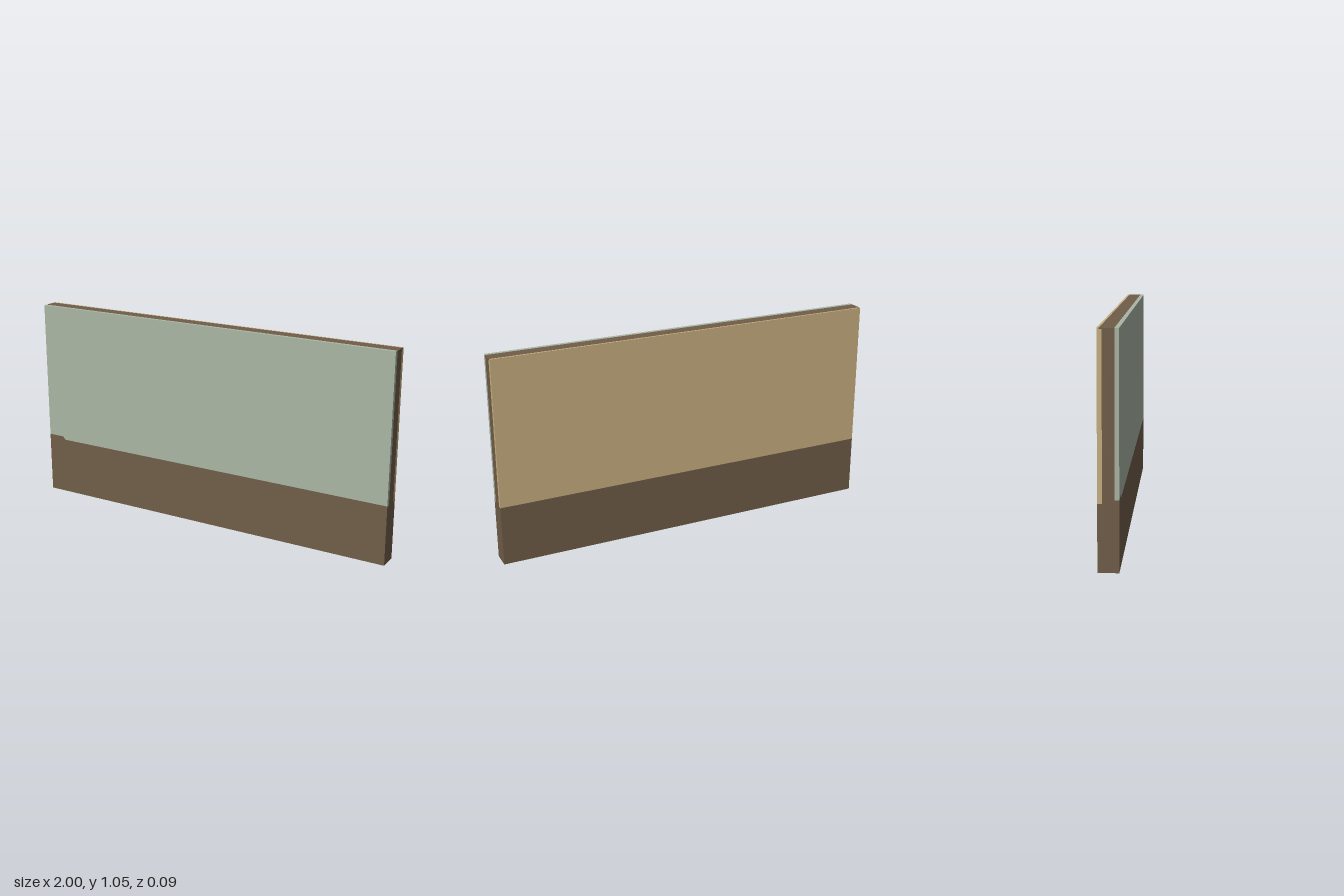
import * as THREE from 'three';

const brown = new THREE.MeshStandardMaterial({ name: 'brown trim', color: 0x705d48 });
const green = new THREE.MeshStandardMaterial({ name: 'sage green plaster', color: 0xaab6a3 });
const tan = new THREE.MeshStandardMaterial({ name: 'tan plaster', color: 0xc8af80 });

const W = 1, H = 1.05, D = 0.047; // half width, height, half depth
const RAIL = 0.305, FRONT = 0.027, BACK = -0.026, CAP_BACK = -0.037, CAP = 0.006;

export function createModel() {
  const wall = new THREE.Group();
  wall.name = 'wallPanel';

  // Box given by its two opposite corners
  const block = (name, material, [x0, y0, z0], [x1, y1, z1]) => {
    const mesh = new THREE.Mesh(new THREE.BoxGeometry(x1 - x0, y1 - y0, z1 - z0), material);
    mesh.position.set((x0 + x1) / 2, (y0 + y1) / 2, (z0 + z1) / 2);
    mesh.name = name;
    wall.add(mesh);
  };

  // Lower wainscot and the core that shows along the top and ends
  block('wainscot', brown, [-W, 0.001, -D], [W, RAIL, D]);
  block('core', brown, [-W, RAIL, BACK], [W, H, FRONT]);
  block('topCap', brown, [-W, H - CAP, CAP_BACK], [W, H, BACK]);

  // Back facing, stepped under the top cap
  block('backPanel', tan, [-W, RAIL, -D], [W, H, CAP_BACK]);
  block('backPanelInner', tan, [-W, RAIL, CAP_BACK], [W, H - CAP, BACK]);

  // Front facing, cut around the small raised corner of the wainscot
  const notch = new THREE.Shape([
    [-W, 0.322], [-0.91, 0.322], [-0.895, RAIL], [W, RAIL], [W, H], [-W, H],
  ].map(p => new THREE.Vector2(...p)));
  const front = new THREE.Mesh(
    new THREE.ExtrudeGeometry(notch, { depth: D - FRONT, bevelEnabled: false }), green);
  front.position.z = FRONT;
  front.name = 'frontPanel';
  wall.add(front);

  const corner = new THREE.Shape([
    [-W, RAIL], [-0.895, RAIL], [-0.91, 0.322], [-W, 0.322],
  ].map(p => new THREE.Vector2(...p)));
  const step = new THREE.Mesh(
    new THREE.ExtrudeGeometry(corner, { depth: D - FRONT, bevelEnabled: false }), brown);
  step.position.z = FRONT;
  step.name = 'raisedCorner';
  wall.add(step);

  // Underside inlay with clipped corners
  const x = 0.975, z = 0.037, c = 0.018;
  const inlay = new THREE.Shape([
    [-x, -z + c], [-x + c, -z], [x - c, -z], [x, -z + c],
    [x, z - c], [x - c, z], [-x + c, z], [-x, z - c],
  ].map(p => new THREE.Vector2(...p)));
  const under = new THREE.Mesh(
    new THREE.ExtrudeGeometry(inlay, { depth: 0.001, bevelEnabled: false }), green);
  under.rotation.x = Math.PI / 2;
  under.position.y = 0.001;
  under.name = 'undersideInlay';
  wall.add(under);

  return wall;
}
